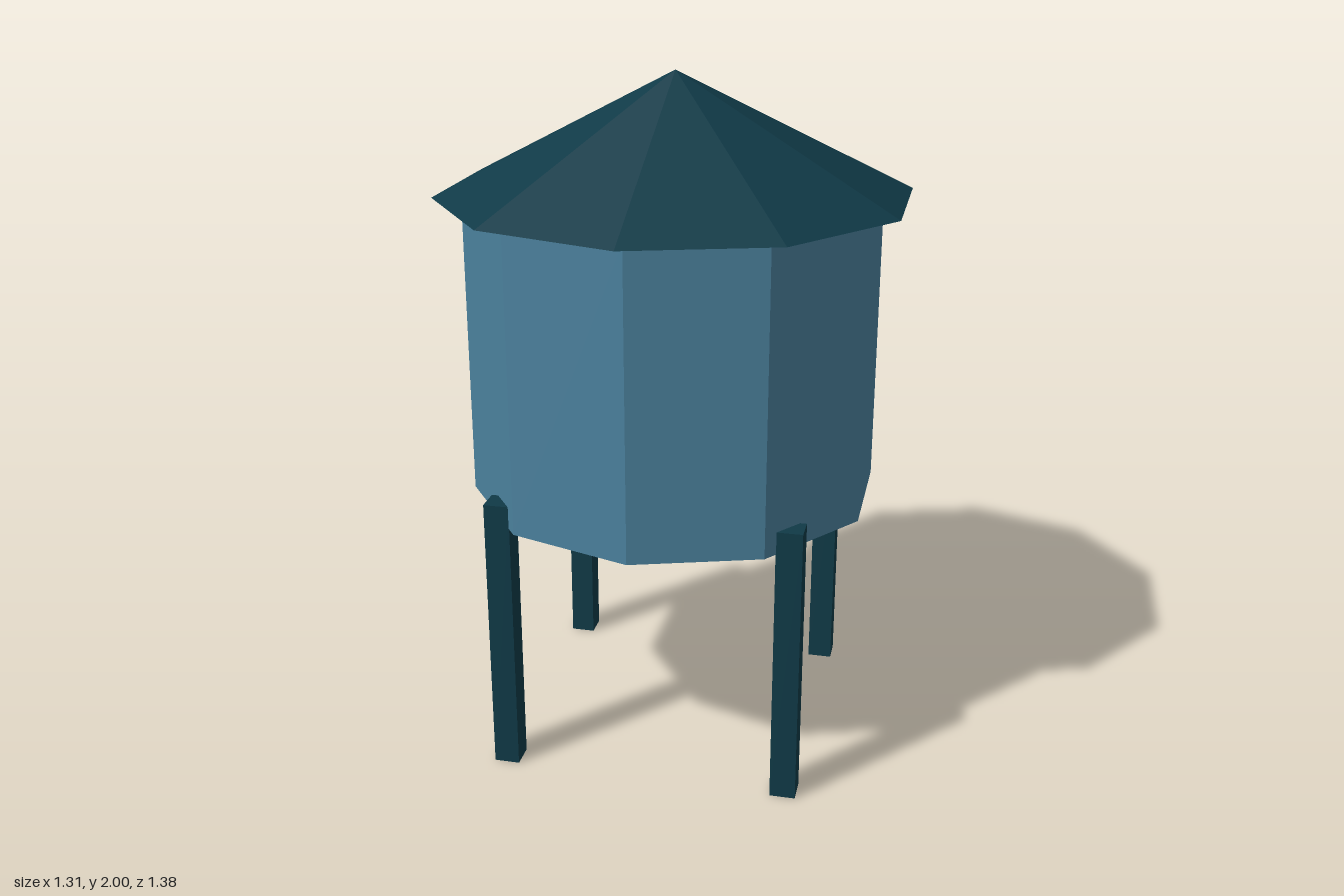
import * as THREE from 'three';

const SIDES = 10;

export function createModel() {
  const tower = new THREE.Group();
  tower.name = 'waterTower';

  const blue = new THREE.MeshStandardMaterial({ name: 'steel blue', color: 0x4b819d, flatShading: true });
  const teal = new THREE.MeshStandardMaterial({ name: 'dark teal', color: 0x103a47, flatShading: true });

  const add = (name, geometry, material, x, y, z) => {
    const mesh = new THREE.Mesh(geometry, material);
    mesh.name = name;
    mesh.position.set(x, y, z);
    tower.add(mesh);
  };

  // Ten-sided tank, with a corner facing the front
  const tankBottom = 0.772, eaves = 1.655, top = 2;
  const tankHeight = eaves - tankBottom;
  add('tank', new THREE.CylinderGeometry(0.605, 0.605, tankHeight, SIDES), blue, 0, tankBottom + tankHeight / 2, 0);

  // Overhanging pointed roof
  add('roof', new THREE.ConeGeometry(0.688, top - eaves, SIDES), teal, 0, (eaves + top) / 2, 0);

  // Four square legs, set partly into the tank wall
  const legHeight = 0.838, legWidth = 0.074, legOffset = 0.417;
  const legGeometry = new THREE.BoxGeometry(legWidth, legHeight, legWidth);
  for (const [endName, z] of [['front', 1], ['back', -1]]) {
    for (const [sideName, x] of [['Left', 1], ['Right', -1]]) {
      add(`${endName}${sideName}Leg`, legGeometry, teal, x * legOffset, legHeight / 2, z * legOffset);
    }
  }

  return tower;
}
